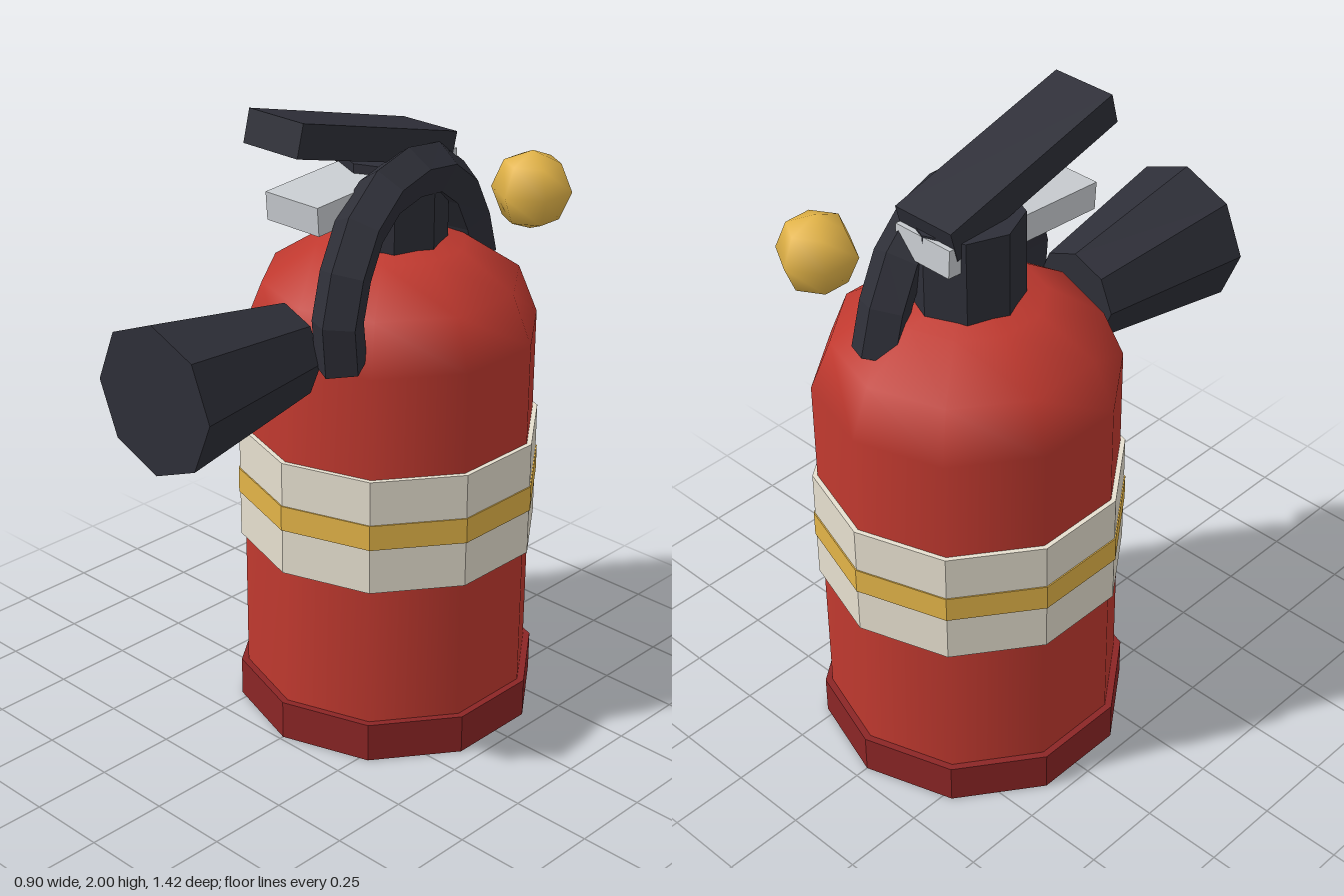
import * as THREE from 'three';

const mat = (name, color) => {
  const m = new THREE.MeshStandardMaterial({ color });
  m.name = name;
  return m;
};

// Split all faces so every facet is shaded flat
const flat = (geo) => {
  const g = geo.toNonIndexed();
  g.computeVertexNormals();
  return g;
};

export function createModel() {
  const red = mat('red paint', 0xc0392f);
  const darkRed = mat('dark red', 0x8b2525);
  const cream = mat('cream label', 0xe6dfcf);
  const gold = mat('gold', 0xe3b448);
  const black = mat('black plastic', 0x2e2f38);
  const grey = mat('light grey metal', 0xc8ccd0);

  const model = new THREE.Group();
  model.name = 'fireExtinguisher';
  const axisZ = -0.235;
  const add = (name, geo, material, x, y, z, rx = 0, ry = 0) => {
    const m = new THREE.Mesh(geo, material);
    m.name = name;
    m.position.set(x, y, z);
    m.rotation.set(rx, ry, 0);
    model.add(m);
    return m;
  };

  // Tank: straight wall with a flattened dome, smooth around ten sides
  const profile = [[0.45, 0.06], [0.45, 1.26]];
  for (const deg of [30, 60, 90]) {
    const a = THREE.MathUtils.degToRad(deg);
    profile.push([Math.max(0, 0.45 * Math.cos(a)), 1.26 + 0.3 * Math.sin(a)]);
  }
  const tank = new THREE.LatheGeometry(profile.map(([r, y]) => new THREE.Vector2(r, y)), 10);
  add('tank', tank, red, 0, 0, axisZ);

  // Foot ring, label band and its stripe
  const ring = (name, r, y0, y1, material) =>
    add(name, flat(new THREE.CylinderGeometry(r, r, y1 - y0, 10)), material, 0, (y0 + y1) / 2, axisZ);
  ring('foot', 0.472, 0, 0.125, darkRed);
  ring('label', 0.465, 0.58, 0.945, cream);
  ring('labelStripe', 0.469, 0.725, 0.805, gold);

  // Valve neck, turned so a corner faces each side
  add('neck', flat(new THREE.CylinderGeometry(0.165, 0.165, 0.31, 8)), black, 0, 1.635, axisZ);

  // Carrying handle and squeeze lever
  add('carryHandle', new THREE.BoxGeometry(0.205, 0.085, 0.58), grey, 0, 1.722, -0.112, 0.07);
  add('lever', new THREE.BoxGeometry(0.21, 0.098, 0.651), black, 0, 1.87, -0.068, -0.253);

  // Pressure gauge
  add('gauge', new THREE.SphereGeometry(0.12, 6, 4), gold, 0.285, 1.67, -0.525, 0, Math.PI / 2);

  // Discharge horn
  add('horn', flat(new THREE.CylinderGeometry(0.225, 0.145, 0.5, 8)), black, 0, 1.3, 0.46, Math.PI / 2);

  // Hose: five-sided section swept over an arch, ridge on the outside
  const section = new THREE.Shape();
  for (let i = 0; i < 5; i++) {
    const a = Math.PI / 2 + (i * Math.PI * 2) / 5;
    const x = 0.077 * Math.cos(a), y = 0.077 * Math.sin(a);
    if (i) section.lineTo(x, y);
    else section.moveTo(x, y);
  }
  section.closePath();
  const path = new THREE.CatmullRomCurve3([
    [0.178, 1.295], [0.195, 1.42], [0.155, 1.56], [0.09, 1.67], [0, 1.74], [-0.1, 1.768],
    [-0.27, 1.76], [-0.4, 1.68], [-0.475, 1.56], [-0.52, 1.43],
  ].map(([z, y]) => new THREE.Vector3(0, y, z)));
  const hose = new THREE.ExtrudeGeometry(section, { steps: 9, extrudePath: path, bevelEnabled: false });
  add('hose', hose, black, 0.16, 0, 0, 0, 0.17);

  return model;
}
